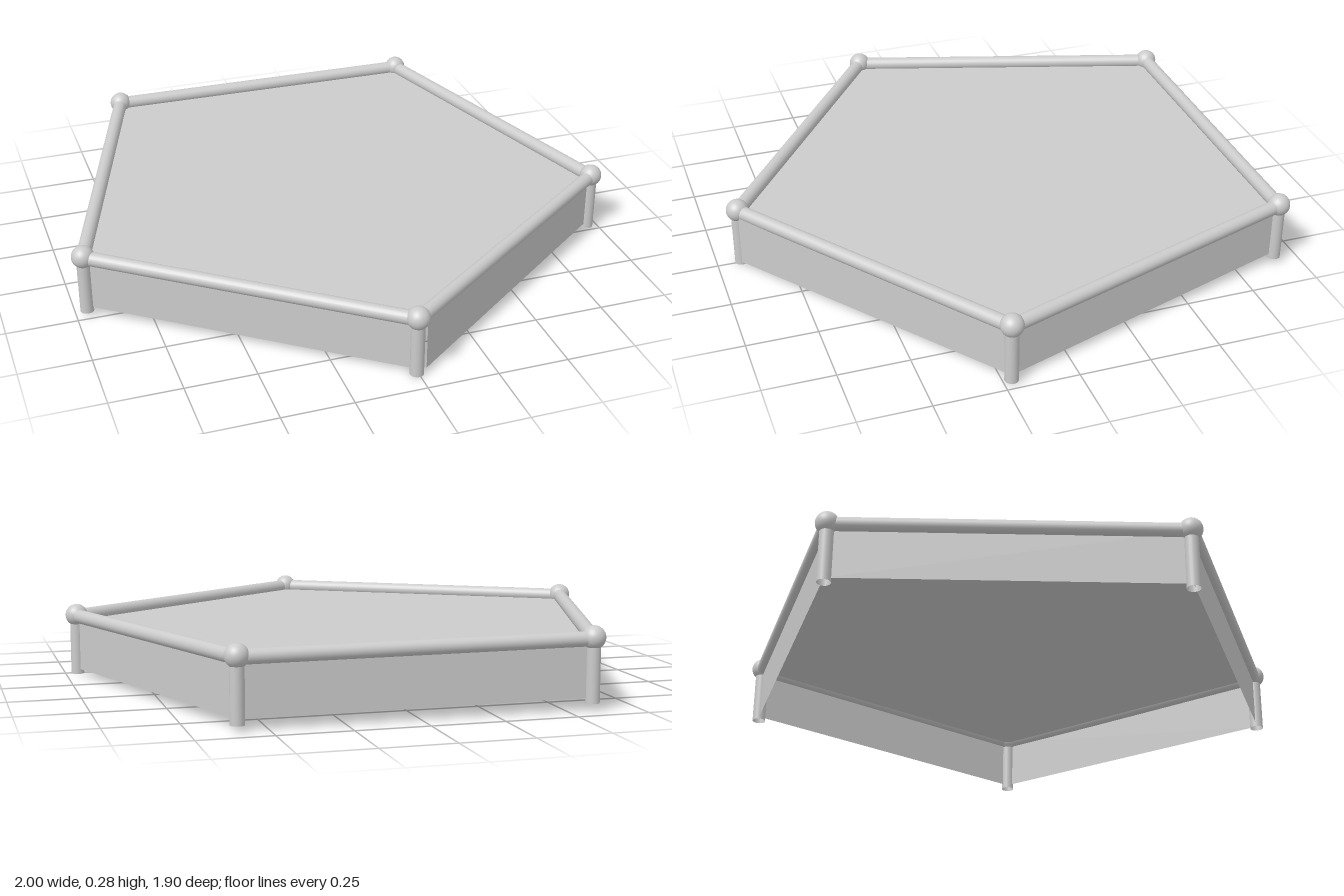
import * as THREE from 'three';

const grey = new THREE.MeshStandardMaterial({ color: 0xcccccc });
const sheet = new THREE.MeshStandardMaterial({ color: 0xcccccc, side: THREE.DoubleSide });
const HEIGHT = 0.217, BALL = 0.04, TUBE = 0.025;

// Feet of the five posts on a slightly tilted pentagon, front corner first
const feet = [
  [-0.005, 0, 0.912], [0.957, 0.004, 0.221], [0.599, 0.019, -0.905],
  [-0.588, 0.025, -0.913], [-0.96, 0.013, 0.213],
].map(p => new THREE.Vector3(...p));

function add(group, name, geometry, material) {
  const mesh = new THREE.Mesh(geometry, material);
  mesh.name = name;
  group.add(mesh);
  return mesh;
}

// Open round tube between two points
function bar(group, name, a, b, radius) {
  const mesh = add(group, name, new THREE.CylinderGeometry(radius, radius, a.distanceTo(b), 24, 1, true), sheet);
  mesh.position.lerpVectors(a, b, 0.5);
  mesh.quaternion.setFromUnitVectors(new THREE.Vector3(0, 1, 0), b.clone().sub(a).normalize());
}

// Flat thin sheet through a loop of corners
function flatSheet(group, name, corners) {
  const geometry = new THREE.BufferGeometry().setFromPoints(corners);
  geometry.setIndex(corners.slice(2).flatMap((_, i) => [0, i + 1, i + 2]));
  geometry.computeVertexNormals();
  add(group, name, geometry, sheet);
}

const lowered = (p, d) => p.clone().setY(p.y - d);

export function createModel() {
  const model = new THREE.Group();
  model.name = 'pentagonalPlatform';
  const corners = feet.map(f => lowered(f, -HEIGHT));

  feet.forEach((foot, i) => {
    const next = (i + 1) % feet.length;
    const a = corners[i], b = corners[next];
    bar(model, 'post' + (i + 1), foot, a, 0.024);
    add(model, 'cornerBall' + (i + 1), new THREE.SphereGeometry(BALL, 32, 20), grey).position.copy(a);
    bar(model, 'rail' + (i + 1), lowered(a, 0.004), lowered(b, 0.004), TUBE);

    // Skirt under each rail; the first one stands a little proud of the front post
    const start = a.clone();
    if (i === 0) start.lerp(b, 0.02).add(new THREE.Vector3(0.013, 0, 0.018));
    flatSheet(model, 'skirt' + (i + 1),
      [lowered(start, 0.2), lowered(b, 0.2), lowered(b, 0.004), lowered(start, 0.004)]);
  });

  // Sheet stretched between the rails, below their centres
  flatSheet(model, 'topPanel', corners.map(c => lowered(c, 0.017)));

  return model;
}
